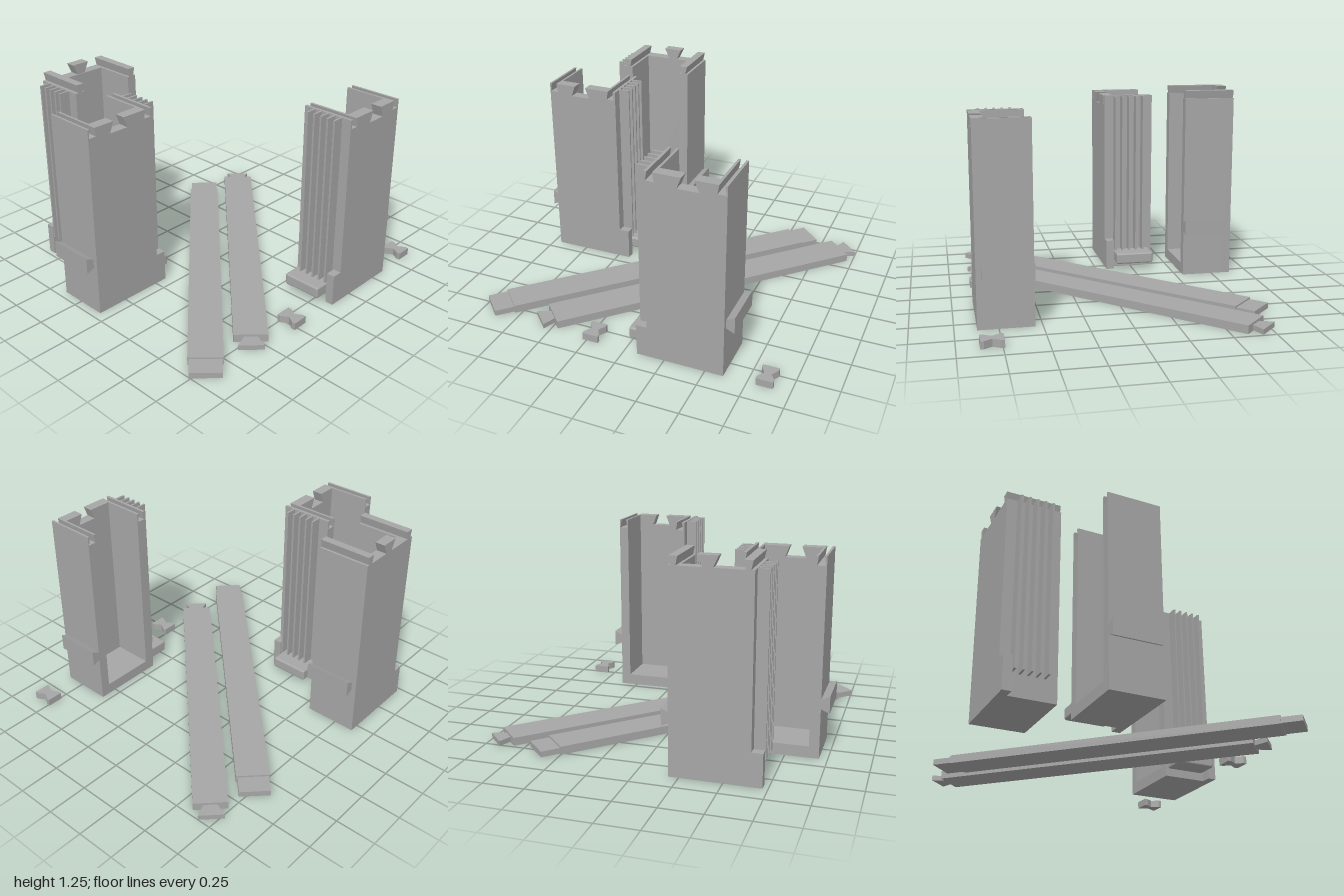
import * as THREE from 'three';
import { RoundedBoxGeometry } from 'three/addons/geometries/RoundedBoxGeometry.js';

const grey = new THREE.MeshStandardMaterial({ color: 0xa6a6a6 });
grey.name = 'plain grey';

const H = 1.187; // height of the open cases

function mesh(name, geometry) {
  const m = new THREE.Mesh(geometry, grey);
  m.name = name;
  return m;
}

// Outline in x and y, extruded from z0 to z1
function prism(name, points, z0, z1) {
  const shape = new THREE.Shape(points.map(([x, y]) => new THREE.Vector2(x, y)));
  const g = new THREE.ExtrudeGeometry(shape, { depth: Math.abs(z1 - z0), bevelEnabled: false });
  g.translate(0, 0, Math.min(z0, z1));
  return mesh(name, g);
}

// Outline in x and z, lying flat from y0 to y1
function slab(name, points, y0, y1) {
  const m = prism(name, points.map(([x, z]) => [x, -z]), y0, y1);
  m.geometry.rotateX(-Math.PI / 2);
  return m;
}

const rect = (x0, x1, y0, y1) => [[x0, y0], [x1, y0], [x1, y1], [x0, y1]];

// Dovetail slot cut down from the top edge, left to right
const slot = (c, top, bottom, y) => [[c - top, H], [c - bottom, y], [c + bottom, y], [c + top, H]];

// Dovetail tongue standing on the top edge
const tongue = (c, base, top, y) => [[c - base, H], [c + base, H], [c + top, y], [c - top, y]];

// One tall case, open on one side; sx and sz mirror it, ox and oz place it
function makeCase(name, sx, ox, sz, oz, tongues) {
  const group = new THREE.Group();
  group.name = name;
  const add = (part, points, z0, z1) => group.add(
    prism(part, points.map(([x, y]) => [sx * x + ox, y]), sz * z0 + oz, sz * z1 + oz));

  const slotA = tongues ? [] : slot(0.179, 0.016, 0.025, 1.133);
  const slotB = tongues ? [] : slot(0.58, 0.016, 0.025, 1.133);
  const slotC = tongues ? [] : slot(0.393, 0.037, 0.062, 1.12);
  const topped = (x0, x1, cuts) => [[x1, 0], [x0, 0], [x0, H], ...cuts, [x1, H]];

  // Shell
  add('closedPanel', topped(0.145, 0.61, [...slotA, ...slotC, ...slotB]), 0.805, 0.872);
  add('finSideWall', topped(0.145, 0.21, slotA), 0.545, 0.805);
  add('railSideWall', topped(0.55, 0.61, slotB), 0.545, 0.805);
  add('floor', rect(0.21, 0.55, 0, 0.07), 0.545, 0.805);
  add('panelFoot', rect(0.08, 0.145, 0, 0.2), 0.82, 0.872);

  // Dovetail rail across the outer wall
  add('sideRail', [[0.61, 0.305], [0.66, 0.282], [0.66, 0.385], [0.61, 0.362]], 0.545, 0.842);

  // Upright fins
  for (let i = 0; i < 5; i++) {
    const z = 0.617 + i * 0.047;
    add('fin', rect(0.078, 0.145, 0.13, H), z - 0.006, z + 0.006);
  }

  if (tongues) {
    add('sideTongue', tongue(0.179, 0.014, 0.025, 1.238), 0.545, 0.872);
    add('sideTongue', tongue(0.58, 0.014, 0.025, 1.238), 0.545, 0.872);
    add('panelTongue', tongue(0.393, 0.028, 0.058, 1.252), 0.81, 0.872);
  } else {
    const block = mesh('footBlock', new RoundedBoxGeometry(0.15, 0.073, 0.25, 2, 0.012));
    block.position.set(sx * 0.078 + ox, 0.087, sz * 0.688 + oz);
    group.add(block);
  }
  return group;
}

// Long bar lying diagonally, with an end piece at both ends
function makeBar(name, x, z, endPoints, endHeight) {
  const group = new THREE.Group();
  group.name = name;
  group.add(slab('barBody', rect(-1.01, 1.01, -0.1, 0.1), 0, 0.05));
  for (const s of [-1, 1]) {
    group.add(slab('barEnd', endPoints.map(([u, v]) => [s * (1.01 + u), v]), 0.005, endHeight));
  }
  group.position.set(x, 0, z);
  group.rotation.y = Math.PI / 4;
  return group;
}

export function createModel() {
  const model = new THREE.Group();
  model.name = 'caseKit';

  model.add(makeCase('frontCase', 1, 0, 1, 0, false));
  model.add(makeCase('middleCase', -1, -0.34, 1, -0.942, false));
  model.add(makeCase('backCase', 1, -0.8, -1, -0.005, true));

  model.add(makeBar('tabBar', -0.145, 0.01, rect(0, 0.12, -0.092, 0.092), 0.04));
  model.add(makeBar('dovetailBar', 0.18, 0.05,
    [[0, -0.04], [0.08, -0.075], [0.08, 0.075], [0, 0.04]], 0.036));

  // Loose bow-shaped keys
  for (const x of [-0.225, 0.85]) {
    const bow = slab('bowKey', [
      [-0.05, -0.066], [0.05, -0.066], [0.05, -0.045], [0.022, 0],
      [0.05, 0.045], [0.05, 0.066], [-0.05, 0.066], [-0.05, 0.045],
      [-0.022, 0], [-0.05, -0.045],
    ], 0, 0.045);
    bow.position.set(x, 0, 0.806);
    model.add(bow);
  }
  return model;
}
